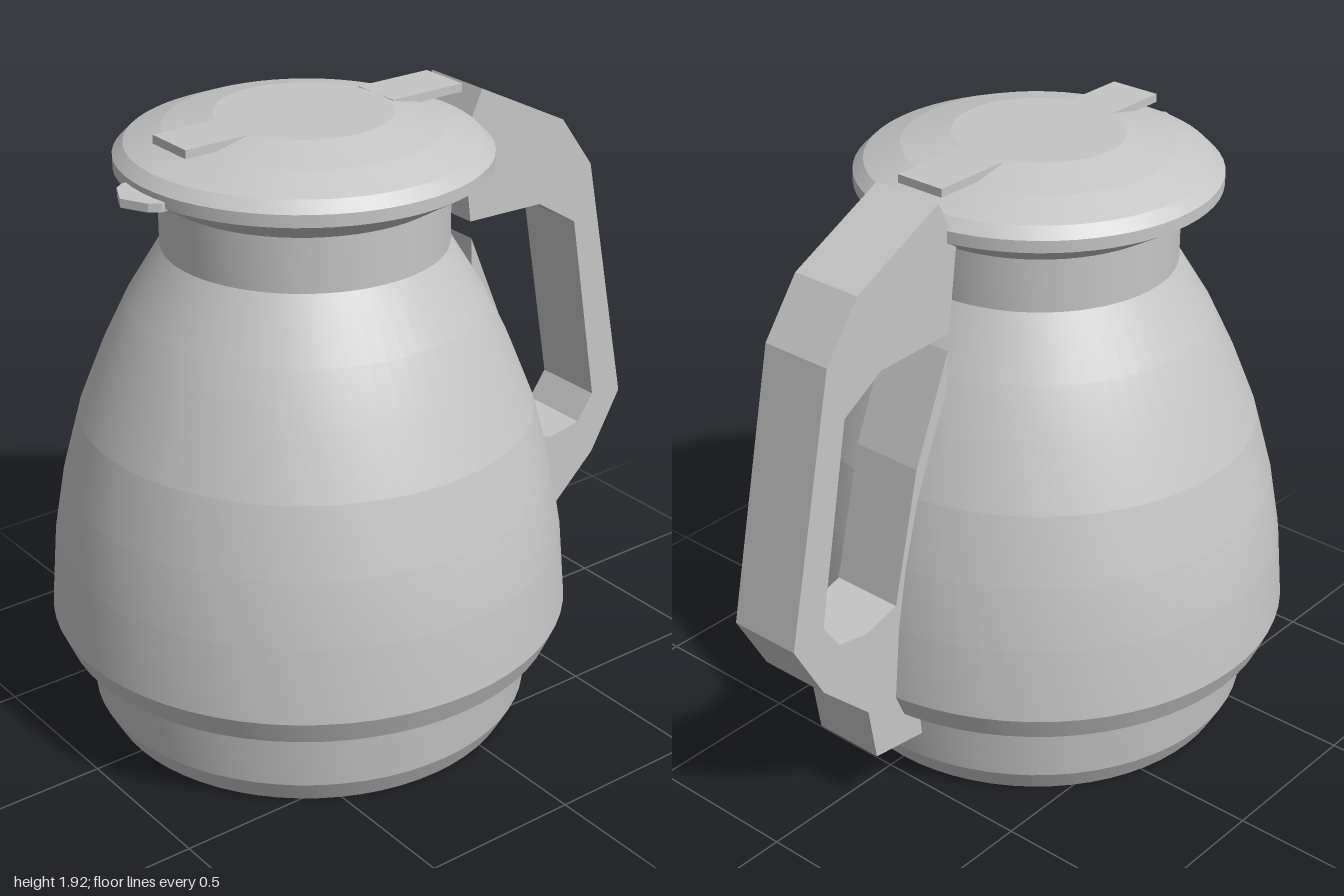
import * as THREE from 'three';
import { toCreasedNormals } from 'three/addons/utils/BufferGeometryUtils.js';

const AXIS_Z = 0.2; // the pot sits forward of the centre to leave room for the handle

const grey = new THREE.MeshStandardMaterial({ color: 0xc6c6c6 });
grey.name = 'light grey';

// Round part from [radius, height] points, with crisp rings between bands
function turned(name, profile) {
  const points = profile.map(([r, y]) => new THREE.Vector2(r, y));
  const geometry = toCreasedNormals(new THREE.LatheGeometry(points, 64), 0.115);
  const mesh = new THREE.Mesh(geometry, grey);
  mesh.name = name;
  mesh.position.z = AXIS_Z;
  return mesh;
}

// Flat outline given thickness, centred on its own depth
function slab(points, depth) {
  const shape = new THREE.Shape(points.map(([x, y]) => new THREE.Vector2(x, y)));
  const geometry = new THREE.ExtrudeGeometry(shape, { depth, bevelEnabled: false });
  geometry.translate(0, 0, -depth / 2);
  return geometry;
}

export function createModel() {
  const model = new THREE.Group();
  model.name = 'jug';

  // Body with recessed base, foot ring, belly and neck
  model.add(turned('body', [
    [0, 0.05], [0.555, 0.05], [0.555, 0], [0.64, 0], [0.68, 0.075],
    [0.697, 0.24], [0.766, 0.285], [0.8, 0.365], [0.78, 0.6], [0.745, 0.8],
    [0.688, 1.01], [0.612, 1.2], [0.537, 1.355], [0.427, 1.535], [0.427, 1.71],
  ]));

  // Lid with flared underside and low dome
  model.add(turned('lid', [
    [0, 1.7], [0.425, 1.7], [0.552, 1.778], [0.552, 1.815], [0.52, 1.847],
    [0.41, 1.89], [0.26, 1.925], [0, 1.925],
  ]));

  // Two tabs projecting over the lid, fore and aft
  for (const [name, z] of [['frontTab', 0.53], ['backTab', -0.19]]) {
    const tab = new THREE.Mesh(new THREE.BoxGeometry(0.165, 0.026, 0.26), grey);
    tab.name = name;
    tab.position.set(0, 1.912, z);
    model.add(tab);
  }

  // Small pointed pouring lip at the front of the rim
  const lipShape = [[-0.1, -0.65], [0.1, -0.65], [0.1, -0.755], [0.08, -0.785],
    [0, -0.825], [-0.08, -0.785], [-0.1, -0.755]];
  const lip = new THREE.Mesh(slab(lipShape, 0.026), grey);
  lip.name = 'pouringLip';
  lip.rotation.x = -Math.PI / 2;
  lip.position.y = 1.785;
  model.add(lip);

  // Handle outline as [distance behind centre, height]
  const handleShape = [
    [0.3, 1.76], [0.37, 1.908], [0.7, 1.745], [0.825, 1.575], [1, 0.74],
    [0.89, 0.545], [0.71, 0.375], [0.68, 0.195], [0.48, 0.17],
    // hidden edge inside the body
    [0.45, 0.3], [0.5, 0.6], [0.4, 1.1], [0.345, 1.32], [0.34, 1.44],
    // grip opening
    [0.48, 1.11], [0.58, 0.69], [0.705, 0.655], [0.82, 0.675], [0.88, 0.76],
    [0.765, 1.395], [0.615, 1.487], [0.335, 1.495],
  ];
  const handle = new THREE.Mesh(slab(handleShape, 0.236), grey);
  handle.name = 'handle';
  handle.rotation.y = Math.PI / 2;
  model.add(handle);

  return model;
}
